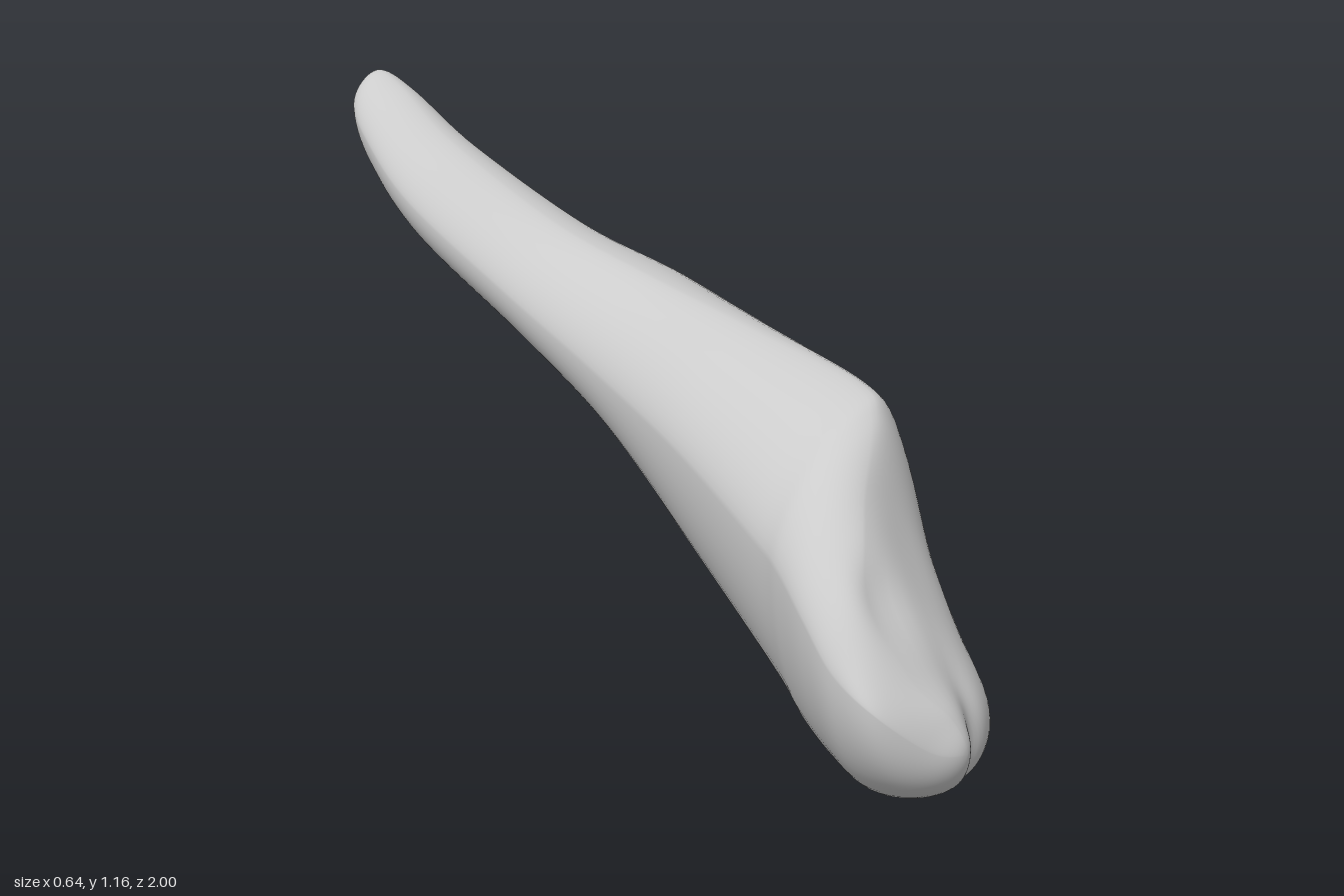
import * as THREE from 'three';

// Cross-sections from the crown tip to the root tip:
// [z, topX, topY, rightX, rightY, bottomX, bottomY, leftX, leftY]
const ROWS = [
  [1.00, -0.13, 0.173, -0.127, 0.17, -0.13, 0.167, -0.133, 0.17],
  [0.97, -0.15, 0.245, -0.06, 0.16, -0.11, 0.09, -0.21, 0.19],
  [0.90, -0.20, 0.33, 0.06, 0.14, -0.09, 0.035, -0.305, 0.28],
  [0.80, -0.20, 0.47, 0.11, 0.16, -0.08, 0.003, -0.32, 0.34],
  [0.70, -0.11, 0.60, 0.145, 0.21, -0.06, 0.01, -0.30, 0.42],
  [0.60, 0.03, 0.73, 0.185, 0.26, -0.03, 0.03, -0.265, 0.48],
  [0.50, 0.08, 0.773, 0.21, 0.32, 0.02, 0.075, -0.23, 0.51],
  [0.20, 0.09, 0.815, 0.28, 0.48, 0.09, 0.24, -0.15, 0.60],
  [-0.13, 0.10, 0.857, 0.318, 0.65, 0.14, 0.46, -0.08, 0.68],
  [-0.40, 0.08, 0.92, 0.262, 0.72, 0.12, 0.62, -0.07, 0.78],
  [-0.70, 0.05, 1.05, 0.168, 0.91, 0.06, 0.795, -0.088, 0.93],
  [-0.88, 0.06, 1.14, 0.128, 1.04, 0.05, 0.92, -0.058, 1.04],
  [-0.97, 0.06, 1.165, 0.103, 1.10, 0.05, 1.02, -0.014, 1.10],
  [-1.00, 0.06, 1.113, 0.063, 1.11, 0.06, 1.107, 0.057, 1.11],
];
const STEPS = 9, SIDES = 64;

// Rows beyond an end mirror the inner one, which makes both tips round
function rowAt(k) {
  const edge = THREE.MathUtils.clamp(k, 0, ROWS.length - 1);
  if (k === edge) return ROWS[k];
  const inner = ROWS[2 * edge - k];
  return ROWS[edge].map((v, n) => n === 0 ? inner[0] : 2 * v - inner[n]);
}

// Smooth interpolation of all section values at row position t
function sectionAt(t) {
  const i = Math.min(Math.floor(t), ROWS.length - 2), f = t - i;
  const before = rowAt(i - 1), next = rowAt(i + 1), after = rowAt(i + 2);
  return rowAt(i).map((b, k) => {
    const a = before[k], c = next[k], d = after[k];
    return b + 0.5 * f * (c - a + f * (2 * a - 5 * b + 4 * c - d + f * (3 * (b - c) + d - a)));
  });
}

// Point on a section: four quadrants joined at the extremes, the upper left one flatter
function sectionPoint([, tx, ty, rx, ry, bx, by, lx, ly], angle) {
  const s = Math.sin(angle), c = Math.cos(angle);
  const power = s < 0 && c > 0 ? 1.25 : 1;
  const midX = c >= 0 ? tx : bx, midY = s >= 0 ? ry : ly;
  const x = midX + ((s >= 0 ? rx : lx) - midX) * Math.abs(s) ** power;
  const y = midY + ((c >= 0 ? ty : by) - midY) * Math.abs(c) ** power;
  return [x, y];
}

// Shallow hollows in the slanted crown face: [x, y, width, height, depth]
const HOLLOWS = [
  [-0.07, 0.18, 0.04, 0.12, 0.025],
  [-0.18, 0.45, 0.05, 0.07, 0.02],
  [-0.02, 0.50, 0.08, 0.15, 0.012],
];
function hollowDepth(x, y, z) {
  const mask = THREE.MathUtils.smoothstep(z, 0.55, 0.75);
  return mask * HOLLOWS.reduce((sum, [hx, hy, w, h, d]) =>
    sum + d * Math.exp(-(((x - hx) / w) ** 2) - ((y - hy) / h) ** 2), 0);
}

function toothGeometry() {
  const positions = [], index = [];
  const count = (ROWS.length - 1) * STEPS;
  for (let i = 0; i <= count; i++) {
    const section = sectionAt(i / STEPS);
    for (let j = 0; j < SIDES; j++) {
      const [x, y] = sectionPoint(section, (j / SIDES) * Math.PI * 2);
      positions.push(x, y, section[0] - hollowDepth(x, y, section[0]));
    }
  }
  for (let i = 0; i < count; i++) {
    for (let j = 0; j < SIDES; j++) {
      const k = (j + 1) % SIDES;
      const a = i * SIDES + j, b = i * SIDES + k;
      index.push(a, b, a + SIDES, b, b + SIDES, a + SIDES);
    }
  }
  // Close both tips
  const front = positions.length / 3, back = front + 1, last = count * SIDES;
  positions.push(-0.13, 0.17, 1 - hollowDepth(-0.13, 0.17, 1), 0.06, 1.11, -1);
  for (let j = 0; j < SIDES; j++) {
    const k = (j + 1) % SIDES;
    index.push(front, k, j, back, last + j, last + k);
  }
  const geometry = new THREE.BufferGeometry();
  geometry.setAttribute('position', new THREE.Float32BufferAttribute(positions, 3));
  geometry.setIndex(index);
  geometry.computeVertexNormals();
  return geometry;
}

export function createModel() {
  const group = new THREE.Group();
  group.name = 'tooth';
  // Crown and root in one continuous surface
  const tooth = new THREE.Mesh(toothGeometry(), new THREE.MeshStandardMaterial({ color: 0xcccccc }));
  tooth.name = 'crownAndRoot';
  group.add(tooth);
  return group;
}
